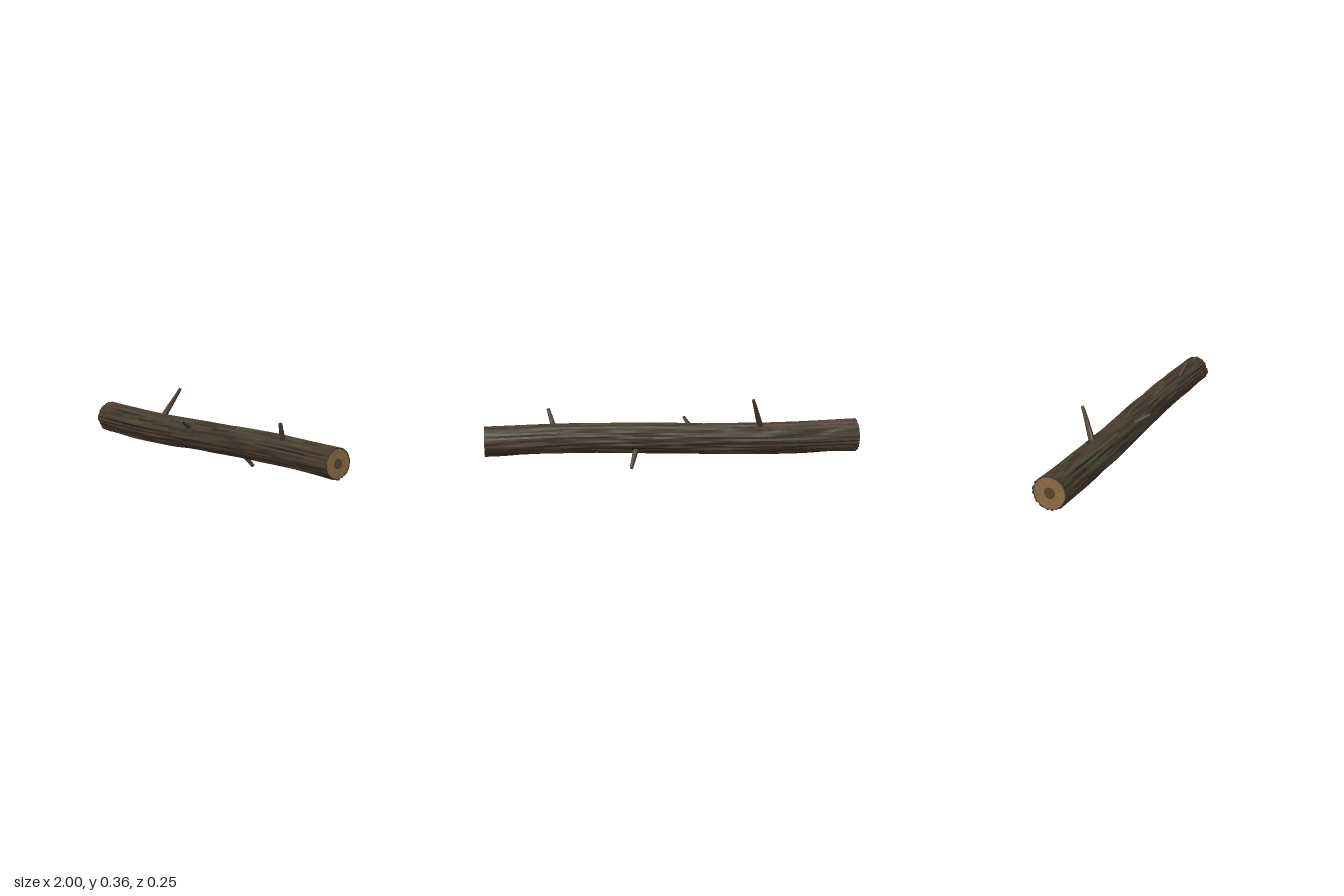
import * as THREE from 'three';

const SIDES = 48, STEPS = 64;

// Repeatable noise from integer coordinates, 0..1
function hash(a, b) {
  const s = Math.sin(a * 127.1 + b * 311.7 + 7.3) * 43758.5453;
  return s - Math.floor(s);
}

// Bent centre line of the trunk, running from end to end along x
const spine = new THREE.CatmullRomCurve3([
  [-1, 0.137, -0.012], [-0.5, 0.130, -0.010], [0, 0.143, -0.009],
  [0.5, 0.155, -0.008], [1, 0.148, -0.008],
].map((p) => new THREE.Vector3(...p)));

const trunkRadius = (t) => 0.0855 - 0.0095 * Math.min(1, t * 1.4);

// Ridge height per strip of bark, drifting slowly along the trunk
function ridge(t, j) {
  const u = t * 7 + hash(j, 90), k = Math.floor(u);
  const n = THREE.MathUtils.lerp(hash(j, k), hash(j, k + 1), THREE.MathUtils.smoothstep(u - k, 0, 1));
  return 1 + (n - 0.5) * 0.13 + (j % 2 ? 0.012 : -0.012);
}

function barkPoint(i, j) {
  const t = i / STEPS, c = spine.getPoint(t);
  const a = (j / SIDES) * Math.PI * 2;
  const r = trunkRadius(t) * ridge(t, j % SIDES);
  return [c.x, c.y + r * Math.cos(a), c.z + r * Math.sin(a)];
}

function material(color) {
  return new THREE.MeshStandardMaterial({ color, flatShading: true, roughness: 1 });
}

// Bark in long patches of several browns, with moss towards the top
function makeBark() {
  const colors = [0x4a3c2f, 0x43362b, 0x3b3027, 0x4b382b, 0x443d2c, 0x424a30];
  const buckets = colors.map(() => []);
  for (let j = 0; j < SIDES; j++) {
    const length = 3 + Math.floor(hash(j, 51) * 5);
    const up = Math.cos(((j + 0.5) / SIDES) * Math.PI * 2);
    for (let i = 0; i < STEPS; i++) {
      const patch = Math.floor((i + hash(j, 17) * 9) / length);
      const mossy = up > 0 && hash(patch, j + 200) < 0.2 * up;
      const pick = mossy ? 5 : Math.floor(hash(patch, j + 400) * 5);
      const a = barkPoint(i, j), b = barkPoint(i, j + 1);
      const c = barkPoint(i + 1, j), d = barkPoint(i + 1, j + 1);
      buckets[pick].push(...a, ...b, ...c, ...b, ...d, ...c);
    }
  }
  const bark = new THREE.Group();
  bark.name = 'bark';
  buckets.forEach((positions, k) => {
    const geometry = new THREE.BufferGeometry();
    geometry.setAttribute('position', new THREE.Float32BufferAttribute(positions, 3));
    geometry.computeVertexNormals();
    const mesh = new THREE.Mesh(geometry, material(colors[k]));
    mesh.name = k === 5 ? 'mossPatches' : 'barkPatches' + (k + 1);
    bark.add(mesh);
  });
  return bark;
}

// Sawn end: bark rim, growth rings, heartwood and drying cracks
function makeCutEnd(i, name) {
  const end = new THREE.Group();
  end.name = name;
  const t = i / STEPS, c = spine.getPoint(t), side = i ? 1 : -1;
  const wood = trunkRadius(t) * 0.93, core = wood * 0.36;

  const rimPoints = [];
  for (let j = 0; j < SIDES; j++) {
    const p = barkPoint(i, j);
    rimPoints.push(new THREE.Vector2(-side * (p[2] - c.z), p[1] - c.y));
  }
  const rim = new THREE.Mesh(new THREE.ShapeGeometry(new THREE.Shape(rimPoints)), material(0x44382c));
  rim.name = 'barkRim';
  end.add(rim);

  const rings = 18;
  for (let k = 0; k < rings; k++) {
    const a = core + ((wood - core) * k) / rings;
    const b = core + ((wood - core) * (k + 1)) / rings;
    const ring = new THREE.Mesh(new THREE.RingGeometry(a, b, SIDES), material(k % 2 ? 0x80623f : 0x94744b));
    ring.position.z = 0.0006;
    ring.name = 'growthRing';
    end.add(ring);
  }
  const heart = new THREE.Mesh(new THREE.CircleGeometry(core, SIDES), material(0x59442f));
  heart.position.z = 0.0006;
  heart.name = 'heartwood';
  end.add(heart);

  for (let k = 0; k < 5; k++) {
    const a = hash(k, 61 + i) * Math.PI * 2;
    const start = wood * (0.5 + 0.2 * hash(k, 62));
    const crack = new THREE.Mesh(new THREE.RingGeometry(start, wood, 1, 1, a, 0.018), material(0x59442f));
    crack.position.z = 0.0009;
    crack.name = 'crack';
    end.add(crack);
  }
  end.position.copy(c);
  end.rotation.y = (side * Math.PI) / 2;
  return end;
}

// Tapered, slightly uneven twig stub from inside the trunk to its tip
function makeTwig(name, base, tip, r0, r1) {
  const from = new THREE.Vector3(...base), to = new THREE.Vector3(...tip);
  const dir = to.clone().sub(from).normalize();
  from.addScaledVector(dir, -0.03);
  const length = from.distanceTo(to);
  const geometry = new THREE.CylinderGeometry(r1, r0, length, 10, 4);
  const p = geometry.attributes.position;
  for (let v = 0; v < p.count; v++) {
    const s = 1 + 0.06 * Math.sin(p.getY(v) * 90) * Math.cos(3 * Math.atan2(p.getZ(v), p.getX(v)));
    p.setX(v, p.getX(v) * s);
    p.setZ(v, p.getZ(v) * s);
  }
  geometry.computeVertexNormals();
  const mesh = new THREE.Mesh(geometry, material(0x4c3c2d));
  mesh.position.copy(from).lerp(to, 0.5);
  mesh.quaternion.setFromUnitVectors(new THREE.Vector3(0, 1, 0), dir);
  mesh.name = name;
  return mesh;
}

export function createModel() {
  const log = new THREE.Group();
  log.name = 'log';
  log.add(makeBark(), makeCutEnd(0, 'rightCutEnd'), makeCutEnd(STEPS, 'leftCutEnd'));
  log.add(
    makeTwig('longTwig', [-0.462, 0.212, -0.042], [-0.411, 0.357, -0.113], 0.018, 0.008),
    makeTwig('frontTwig', [-0.098, 0.192, 0.058], [-0.072, 0.231, 0.122], 0.014, 0.008),
    makeTwig('lowerTwig', [0.212, 0.080, -0.064], [0.238, 0.008, -0.119], 0.016, 0.009),
    makeTwig('upperTwig', [0.640, 0.222, 0.026], [0.664, 0.304, 0.061], 0.016, 0.009),
  );
  return log;
}
